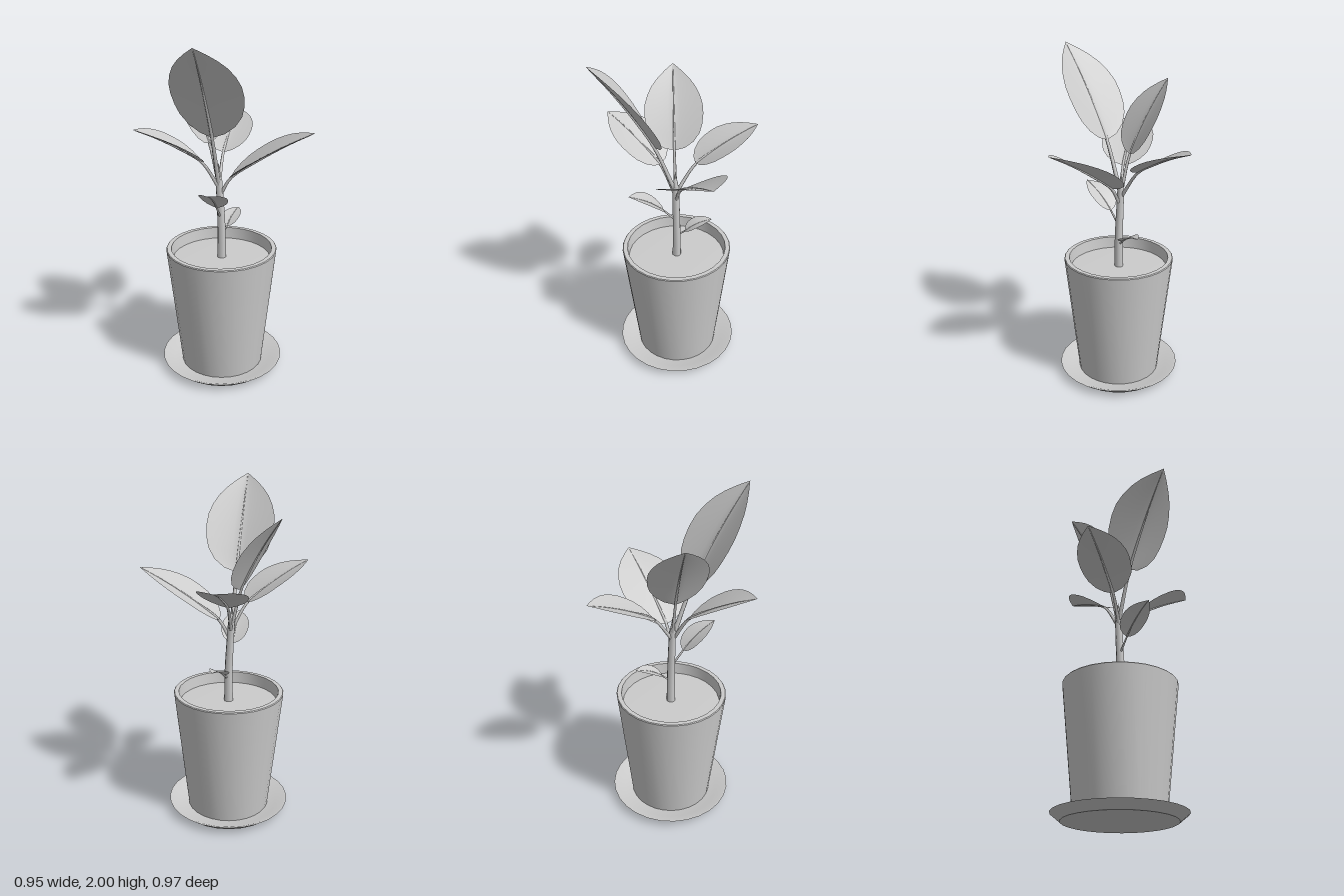
import * as THREE from 'three';
import { toCreasedNormals } from 'three/addons/utils/BufferGeometryUtils.js';

const CX = -0.055, CZ = 0.028; // axis of the pot
const solid = new THREE.MeshStandardMaterial({ color: 0xcccccc });
const thin = new THREE.MeshStandardMaterial({ color: 0xcccccc, side: THREE.DoubleSide });
const vec = (a) => new THREE.Vector3(...a);

// Half-width of a leaf along its length, as [position, fraction of the widest]
const OUTLINE = [[0, 0], [0.03, 0.36], [0.1, 0.66], [0.2, 0.87], [0.3, 0.96], [0.42, 1], [0.53, 0.98],
  [0.64, 0.88], [0.74, 0.73], [0.83, 0.53], [0.92, 0.27], [1, 0]];

// Turned part with crisp edges
function turned(name, profile) {
  const pts = profile.map(([r, y]) => new THREE.Vector2(r, y));
  const geo = toCreasedNormals(new THREE.LatheGeometry(pts, 28), 0.6);
  const mesh = new THREE.Mesh(geo, solid);
  mesh.name = name;
  mesh.position.set(CX, 0, CZ);
  return mesh;
}

// Tube whose radius runs from r0 to r1
function taperedTube(name, curve, r0, r1, segs = 14, sides = 8) {
  const geo = new THREE.TubeGeometry(curve, segs, 1, sides);
  const pos = geo.attributes.position, p = new THREE.Vector3();
  for (let i = 0; i < pos.count; i++) {
    const t = Math.floor(i / (sides + 1)) / segs;
    const c = curve.getPointAt(t);
    p.fromBufferAttribute(pos, i).sub(c).multiplyScalar(r0 + (r1 - r0) * t).add(c);
    pos.setXYZ(i, p.x, p.y, p.z);
  }
  const mesh = new THREE.Mesh(geo, solid);
  mesh.name = name;
  return mesh;
}

// Leaf: folded blade from base to tip, with a stalk that runs on as the midrib
function leaf({ name, root, base, tip, width, cup = 0.18, arch = 0.015, stalk = 0.011 }) {
  const group = new THREE.Group();
  group.name = name;
  const b = vec(base), t = vec(tip);
  const dir = t.clone().sub(b).normalize();
  const side = dir.clone().cross(new THREE.Vector3(0, 1, 0)).normalize();
  const normal = side.clone().cross(dir);
  const mid = b.clone().lerp(t, 0.5).addScaledVector(normal, arch * 2);
  const spine = new THREE.QuadraticBezierCurve3(b, mid, t);

  const half = 5, cols = half * 2 + 1, verts = [], index = [];
  OUTLINE.forEach(([u, w], r) => {
    const c = spine.getPoint(u);
    for (let k = -half; k <= half; k++) {
      const s = (k / half) * w * width / 2;
      const lift = cup * Math.pow(Math.abs(k / half), 1.25) * w * width / 2;
      const p = c.clone().addScaledVector(side, s).addScaledVector(normal, lift);
      verts.push(p.x, p.y, p.z);
      if (r > 0 && k < half) {
        const i = (r - 1) * cols + k + half;
        index.push(i, i + 1, i + cols, i + 1, i + cols + 1, i + cols);
      }
    }
  });
  const geo = new THREE.BufferGeometry();
  geo.setAttribute('position', new THREE.Float32BufferAttribute(verts, 3));
  geo.setIndex(index);
  geo.computeVertexNormals();
  const blade = new THREE.Mesh(geo, thin);
  blade.name = 'blade';
  group.add(blade);

  const under = (u) => spine.getPoint(u).addScaledVector(normal, -stalk * 0.3 * (1 - u));
  const rib = new THREE.CatmullRomCurve3([vec(root), under(0), under(0.35), under(0.7), under(0.97)]);
  group.add(taperedTube('stalk', rib, stalk, 0.002, 20, 6));
  return group;
}

export function createModel() {
  const model = new THREE.Group();
  model.name = 'pottedPlant';

  // Saucer, pot and soil
  model.add(turned('saucer', [[0, 0], [0.315, 0], [0.37, 0.045], [0.357, 0.045], [0.3, 0.015], [0, 0.015]]));
  model.add(turned('pot', [[0, 0.015], [0.25, 0.015], [0.33, 0.765], [0.326, 0.77], [0.3, 0.77], [0.29, 0.68]]));
  model.add(turned('soil', [[0.296, 0.7], [0, 0.706]]));

  // Main stem, with a narrower bud on top
  const stem = new THREE.CatmullRomCurve3([[CX, 0.69, 0.026], [CX, 0.9, 0.026], [-0.062, 1.06, 0.025],
    [-0.07, 1.2, 0.025]].map(vec));
  model.add(taperedTube('stem', stem, 0.027, 0.02));
  const bud = new THREE.Mesh(new THREE.ConeGeometry(0.018, 0.1, 8), solid);
  bud.name = 'bud';
  bud.position.set(-0.071, 1.245, 0.025);
  model.add(bud);

  // Leaves
  const leaves = [
    { name: 'tallFrontLeaf', root: [-0.07, 1.17, 0.03], base: [-0.075, 1.47, 0.14], tip: [-0.075, 2, 0.485],
      width: 0.4, cup: 0.22, stalk: 0.014 },
    { name: 'backLeaf', root: [-0.07, 1.15, 0.02], base: [-0.075, 1.32, -0.1], tip: [-0.075, 1.5, -0.485], width: 0.28 },
    { name: 'leftLeaf', root: [-0.06, 1.1, 0.025], base: [0, 1.21, 0.025], tip: [0.475, 1.5, 0.023], width: 0.375 },
    { name: 'rightLeaf', root: [-0.07, 1.16, 0.025], base: [-0.125, 1.4, 0.01], tip: [-0.36, 1.82, -0.07], width: 0.33 },
    { name: 'frontRightLeaf', root: [-0.065, 1.14, 0.03], base: [-0.15, 1.31, 0.085], tip: [-0.475, 1.53, 0.295], width: 0.31 },
    { name: 'smallFrontLeaf', root: [-0.06, 0.96, 0.03], base: [-0.063, 1.045, 0.1], tip: [-0.065, 1.19, 0.31],
      width: 0.165, stalk: 0.007 },
    { name: 'smallBackLeaf', root: [CX, 0.85, 0.02], base: [-0.035, 0.885, -0.02], tip: [0, 0.953, -0.18],
      width: 0.11, stalk: 0.006 },
  ];
  leaves.forEach((l) => model.add(leaf(l)));
  return model;
}
